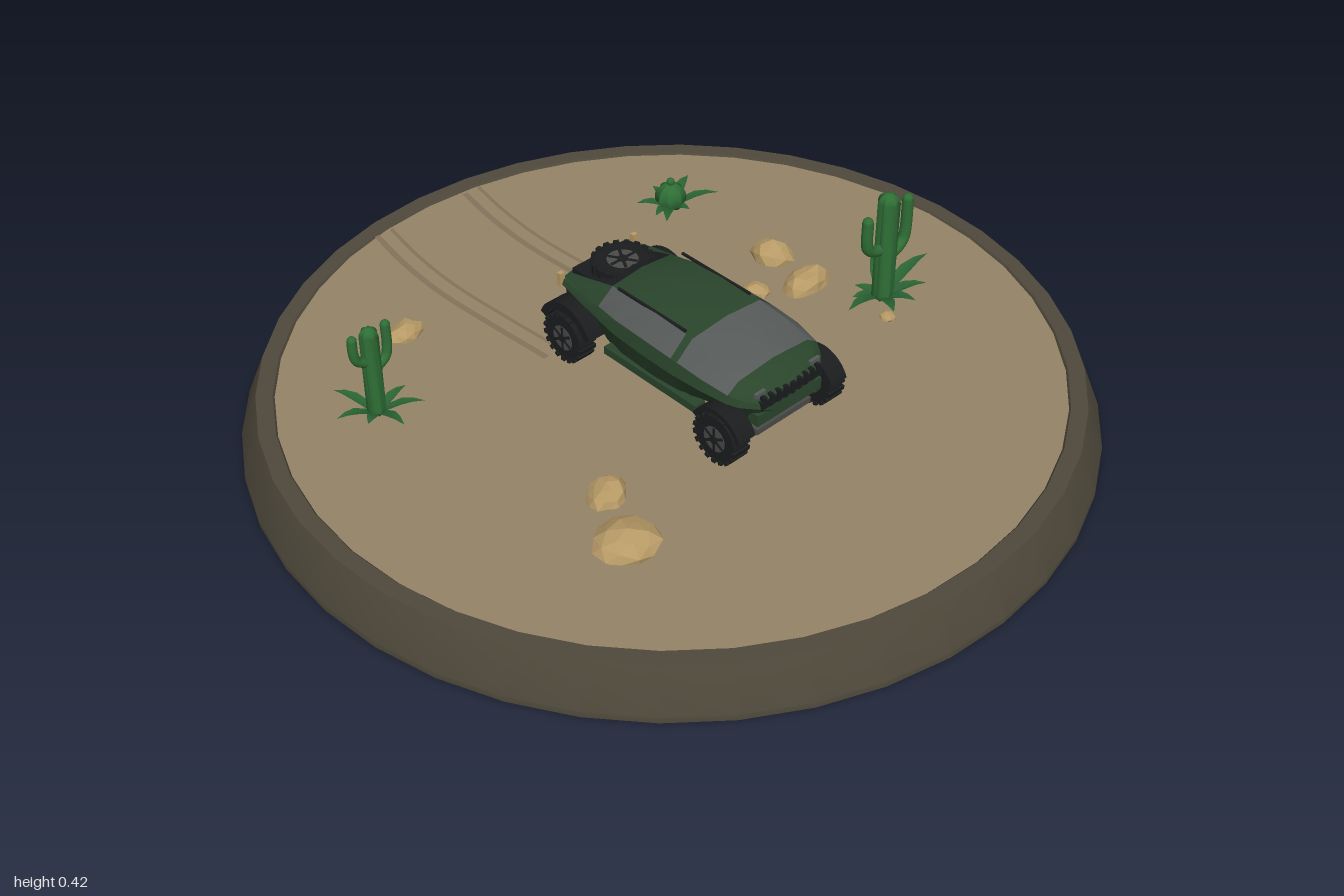
import * as THREE from 'three';
import { toCreasedNormals } from 'three/addons/utils/BufferGeometryUtils.js';

const mat = (name, color, extra = {}) => Object.assign(new THREE.MeshStandardMaterial({ color, ...extra }), { name });
const M = {
  rim: mat('base stone', 0x4f493b),
  sand: mat('sand', 0x958367),
  track: mat('track sand', 0x84735b, { side: THREE.DoubleSide }),
  rock: mat('rock', 0xb79a66),
  cactus: mat('cactus green', 0x2f6e36),
  leaf: mat('leaf green', 0x2a6434, { side: THREE.DoubleSide }),
  paint: mat('body green', 0x2a452c),
  black: mat('rubber black', 0x1b1c1e),
  glass: mat('glass grey', 0x565a59),
  metal: mat('metal grey', 0x4a4a48),
};
const GROUND = 0.113;

function add(parent, name, geo, material, x = 0, y = 0, z = 0) {
  const m = new THREE.Mesh(geo, material);
  m.name = name;
  m.position.set(x, y, z);
  parent.add(m);
  return m;
}
const box = (w, h, d) => new THREE.BoxGeometry(w, h, d);
const group = (parent, name, x = 0, y = 0, z = 0) => {
  const g = new THREE.Group();
  g.name = name;
  g.position.set(x, y, z);
  parent.add(g);
  return g;
};

// Flat ribbon lying on the ground along a curve
function ribbon(pts, width) {
  const c = new THREE.CatmullRomCurve3(pts.map(([x, z]) => new THREE.Vector3(x, 0, z)));
  const g = new THREE.PlaneGeometry(width, 1, 1, 20).rotateX(-Math.PI / 2);
  const p = g.attributes.position;
  for (let i = 0; i < p.count; i++) {
    const q = c.getPoint(Math.floor(i / 2) / 20);
    p.setXYZ(i, q.x + p.getX(i), 0, q.z);
  }
  return g;
}

// Faceted boulder with a flattened underside
function rockGeo(sx, sy, sz, seed) {
  const g = new THREE.IcosahedronGeometry(1, 1);
  const p = g.attributes.position, v = new THREE.Vector3();
  for (let i = 0; i < p.count; i++) {
    v.fromBufferAttribute(p, i);
    const k = 1 + 0.13 * Math.sin(v.x * 5 + seed) * Math.cos(v.z * 4 + seed * 2 + v.y * 3);
    p.setXYZ(i, v.x * k * sx, Math.max(v.y * k, -0.15) * sy, v.z * k * sz);
  }
  g.computeVertexNormals();
  return g;
}

// Ribbed column with rounded ends, standing on y = 0
function ribbed(r, h, ribs) {
  const g = new THREE.CapsuleGeometry(r, h - 2 * r, 5, ribs * 2);
  const p = g.attributes.position;
  for (let i = 0; i < p.count; i++) {
    const k = 1 + 0.13 * Math.cos(Math.atan2(p.getZ(i), p.getX(i)) * ribs);
    p.setX(i, p.getX(i) * k);
    p.setZ(i, p.getZ(i) * k);
  }
  g.computeVertexNormals();
  return g.translate(0, h / 2, 0);
}

// Folded pointed leaf arching outwards along +x
function leafGeo(len, w) {
  const g = new THREE.PlaneGeometry(1, 1, 2, 4);
  const p = g.attributes.position, widths = [0.5, 0.9, 1, 0.6, 0];
  for (let i = 0; i < p.count; i++) {
    const row = Math.floor(i / 3), side = (i % 3) - 1, t = row / 4;
    p.setXYZ(i, len * t, len * (0.85 * t - 0.5 * t * t) + Math.abs(side) * w * 0.3 * widths[row], side * w * widths[row]);
  }
  g.computeVertexNormals();
  return g;
}
function leaves(parent, list, w) {
  list.forEach(([deg, len]) => { add(parent, 'leaf', leafGeo(len, w), M.leaf).rotation.y = deg * Math.PI / 180; });
}

// Upright cactus; arms are [reach, joinHeight, topHeight]
function cactus(root, x, z, h, r, arms, blades) {
  const g = group(root, 'cactus', x, GROUND, z);
  add(g, 'stem', ribbed(r, h, 7), M.cactus);
  for (const [reach, y0, y1] of arms) {
    const s = Math.sign(reach), ar = r * 0.58, bend = 0.03;
    const path = new THREE.CatmullRomCurve3([
      [0, y0, 0], [reach - s * bend, y0 + 0.006, 0], [reach - s * 0.006, y0 + 0.024, 0], [reach, y0 + 0.05, 0], [reach, y1 - ar, 0],
    ].map(a => new THREE.Vector3(...a)));
    add(g, 'arm', new THREE.TubeGeometry(path, 16, ar, 9), M.cactus);
    add(g, 'armTip', new THREE.SphereGeometry(ar, 9, 6), M.cactus, reach, y1 - ar, 0);
  }
  leaves(g, blades, r * 0.65);
}

// Vehicle shell lofted from half sections: z, bottom, belt, top heights, then half widths
function shellGeo() {
  const S = [
    [0.378, 0.235, 0.255, 0.283, 0.06, 0.095, 0.07], [0.345, 0.205, 0.26, 0.306, 0.085, 0.13, 0.098],
    [0.32, 0.2, 0.265, 0.315, 0.09, 0.145, 0.108], [0.25, 0.2, 0.268, 0.334, 0.1, 0.157, 0.112],
    [0.175, 0.185, 0.266, 0.349, 0.115, 0.16, 0.105], [0.155, 0.18, 0.265, 0.351, 0.12, 0.16, 0.105],
    [0.06, 0.175, 0.265, 0.355, 0.125, 0.158, 0.104], [-0.03, 0.178, 0.265, 0.35, 0.122, 0.153, 0.1],
    [-0.1, 0.19, 0.268, 0.34, 0.11, 0.143, 0.09], [-0.19, 0.22, 0.275, 0.312, 0.09, 0.13, 0.085],
    [-0.255, 0.24, 0.272, 0.298, 0.07, 0.115, 0.08],
  ];
  const rings = S.map(([z, yb, ym, yt, wb, wm, wt]) => {
    const half = [[0, yb], [wb, yb], [wm, ym], [wm * 0.85 + wt * 0.15, ym + (yt - ym) * 0.4], [wt, yt - 0.009], [0, yt]];
    return [...half, ...half.slice(1, 5).reverse().map(([x, y]) => [-x, y])].map(([x, y]) => [x, y, z]);
  });
  // 0 paint, 1 glass, 2 black
  const pick = (i, band) => {
    if (band === 0) return 2;
    if (band === 4 && (i === 2 || i === 3)) return 1;
    if (band === 3 && i >= 2 && i <= 7 && i !== 4) return 1;
    return i >= 8 && band === 4 ? 2 : 0;
  };
  const buckets = [[], [], []], n = 10;
  for (let i = 0; i < rings.length - 1; i++) for (let j = 0; j < n; j++) {
    const a = rings[i][j], b = rings[i][(j + 1) % n], c = rings[i + 1][(j + 1) % n], d = rings[i + 1][j];
    buckets[pick(i, j < 5 ? j : 9 - j)].push(a, d, c, a, c, b);
  }
  const f = rings[0], e = rings[rings.length - 1];
  for (let j = 1; j < n - 1; j++) {
    buckets[0].push(f[0], f[j], f[j + 1]);
    buckets[2].push(e[0], e[j + 1], e[j]);
  }
  const g = new THREE.BufferGeometry();
  g.setAttribute('position', new THREE.Float32BufferAttribute(buckets.flat(2), 3));
  let start = 0;
  buckets.forEach((b, k) => { g.addGroup(start, b.length, k); start += b.length; });
  return toCreasedNormals(g, 0.55);
}

// Off-road wheel with its axle along x
function wheel(parent, name, r, w, x, y, z) {
  const g = group(parent, name, x, y, z);
  const cyl = (rad, len) => new THREE.CylinderGeometry(rad, rad, len, 20).rotateZ(Math.PI / 2);
  add(g, 'tyre', cyl(r * 0.93, w * 0.85), M.black);
  add(g, 'rim', cyl(r * 0.5, w * 0.9), M.metal);
  add(g, 'hub', cyl(r * 0.17, w * 1.02), M.black);
  for (let i = 0; i < 18; i++) {
    const a = i / 18 * Math.PI * 2;
    const lug = add(g, 'tread', box(w, r * 0.14, r * 0.17), M.black, 0, Math.cos(a) * r * 0.93, Math.sin(a) * r * 0.93);
    lug.rotation.x = a;
    if (i % 3 === 0) {
      add(g, 'spoke', box(w * 0.96, r * 0.4, r * 0.1), M.black, 0, Math.cos(a) * r * 0.28, Math.sin(a) * r * 0.28).rotation.x = a;
    }
  }
  return g;
}

// Curved mudguard over a wheel, extruded along x
function guardGeo(r, thick, w, a0, a1) {
  const s = new THREE.Shape();
  s.absarc(0, 0, r + thick, a0, a1, false);
  s.absarc(0, 0, r, a1, a0, true);
  return new THREE.ExtrudeGeometry(s, { depth: w, bevelEnabled: false, curveSegments: 10 }).translate(0, 0, -w / 2).rotateY(-Math.PI / 2);
}

function vehicle(root) {
  const car = group(root, 'vehicle');
  add(car, 'bodyShell', shellGeo(), [M.paint, M.glass, M.black]);
  add(car, 'chassis', box(0.15, 0.035, 0.5), M.black, 0, 0.19, 0.07);
  add(car, 'skidPlate', box(0.17, 0.014, 0.05), M.metal, 0, 0.173, 0.335);
  add(car, 'frontBumper', box(0.2, 0.03, 0.03), M.paint, 0, 0.222, 0.36);
  add(car, 'grille', box(0.19, 0.02, 0.012), M.black, 0, 0.262, 0.374);
  for (let i = -4; i <= 4; i++) add(car, 'grilleTooth', box(0.01, 0.03, 0.012), M.black, i * 0.021, 0.268, 0.379 - Math.abs(i) * 0.001);
  add(car, 'rearBumper', box(0.18, 0.025, 0.025), M.black, 0, 0.235, -0.252);
  add(car, 'rearDeck', box(0.17, 0.03, 0.13), M.black, 0, 0.29, -0.18);
  for (const s of [-1, 1]) {
    add(car, 'sill', box(0.03, 0.02, 0.3), M.paint, s * 0.128, 0.19, 0.075);
    add(car, 'headlight', box(0.03, 0.012, 0.008), M.glass, s * 0.085, 0.285, 0.364);
    add(car, 'tailLight', box(0.014, 0.035, 0.012), M.rock, s * 0.115, 0.285, -0.252);
    add(car, 'roofRail', box(0.006, 0.005, 0.22), M.black, s * 0.1, 0.345, 0.04);
    add(car, 'frontMudguard', guardGeo(0.066, 0.012, 0.05, 0.35, 2.7), M.black, s * 0.145, 0.178, 0.315);
    add(car, 'rearMudguard', guardGeo(0.068, 0.022, 0.05, 0.35, 2.8), M.black, s * 0.14, 0.178, -0.185);
    for (const [z, n] of [[0.315, 'frontWheel'], [-0.185, 'rearWheel']]) {
      wheel(car, n, 0.064, 0.05, s * 0.151, 0.179, z);
      const strut = add(car, 'shockAbsorber', new THREE.CylinderGeometry(0.008, 0.008, 0.09, 8), M.metal, s * 0.1, 0.21, z);
      strut.rotation.z = s * 0.4;
    }
  }
  for (const z of [0.315, -0.185]) add(car, 'axle', new THREE.CylinderGeometry(0.012, 0.012, 0.27, 10).rotateZ(Math.PI / 2), M.black, 0, 0.179, z);
  const spare = wheel(car, 'spareWheel', 0.075, 0.04, 0, 0.312, -0.165);
  spare.rotation.z = Math.PI / 2;
}

export function createModel() {
  const root = new THREE.Group();
  root.name = 'desertDiorama';

  // Round base with a bevelled raised rim
  const profile = [[0, 0], [1, 0], [1, 0.015], [0.957, 0.118], [0.918, 0.118], [0.91, 0.105]].map(a => new THREE.Vector2(...a));
  add(root, 'base', toCreasedNormals(new THREE.LatheGeometry(profile, 40), 0.4), M.rim);
  add(root, 'ground', new THREE.CircleGeometry(0.914, 40).rotateX(-Math.PI / 2), M.sand, 0, GROUND, 0);

  // Tyre tracks behind the vehicle
  for (const [x, dx] of [[-0.175, 0], [0.11, 0]]) {
    for (const off of [-0.02, 0.025]) {
      const pts = [[x, -0.22], [x - 0.012, -0.4], [x - 0.02, -0.6], [x - 0.008, -0.76], [x + 0.015, -0.895]].map(([a, z]) => [a + off + dx, z]);
      add(root, 'tyreTrack', ribbon(pts, off < 0 ? 0.016 : 0.01), M.track, 0, GROUND + 0.002, 0);
    }
  }

  // Scattered rocks: x, z, half sizes, turn
  [[-0.375, -0.52, 0.047, 0.03, 0.034, 0.1], [0.483, -0.143, 0.047, 0.045, 0.056, 0.4], [0.346, -0.066, 0.032, 0.022, 0.037, 0.7],
    [0.457, -0.005, 0.07, 0.04, 0.043, 0], [-0.417, 0.235, 0.052, 0.04, 0.043, 0.5], [-0.485, 0.375, 0.075, 0.04, 0.072, 0.2],
    [0.5, 0.225, 0.02, 0.015, 0.02, 0]].forEach(([x, z, a, b, c, turn], i) => {
    add(root, 'rock', rockGeo(a, b, c, i * 1.7), M.rock, x, GROUND + 0.002, z).rotation.y = turn;
  });

  // Tall cactus, smaller cactus and barrel cactus
  cactus(root, 0.545, 0.165, 0.307, 0.025, [[-0.07, 0.155, 0.27], [0.07, 0.125, 0.275]],
    [[0, 0.165], [55, 0.125], [115, 0.07], [158, 0.08], [188, 0.145], [238, 0.1], [285, 0.09], [325, 0.11]]);
  cactus(root, -0.607, -0.325, 0.245, 0.02, [[-0.045, 0.15, 0.243], [0.045, 0.125, 0.243]],
    [[5, 0.09], [50, 0.06], [115, 0.11], [172, 0.1], [215, 0.06], [268, 0.11], [318, 0.11]]);
  const barrel = group(root, 'barrelCactus', 0.447, GROUND, -0.475);
  add(barrel, 'barrel', ribbed(0.036, 0.078, 8), M.cactus);
  add(barrel, 'bud', new THREE.SphereGeometry(0.011, 8, 6), M.cactus, 0, 0.083, 0);
  leaves(barrel, [[22, 0.11], [82, 0.08], [150, 0.09], [200, 0.085], [222, 0.125], [282, 0.06], [322, 0.125]], 0.015);

  vehicle(root);
  return root;
}
